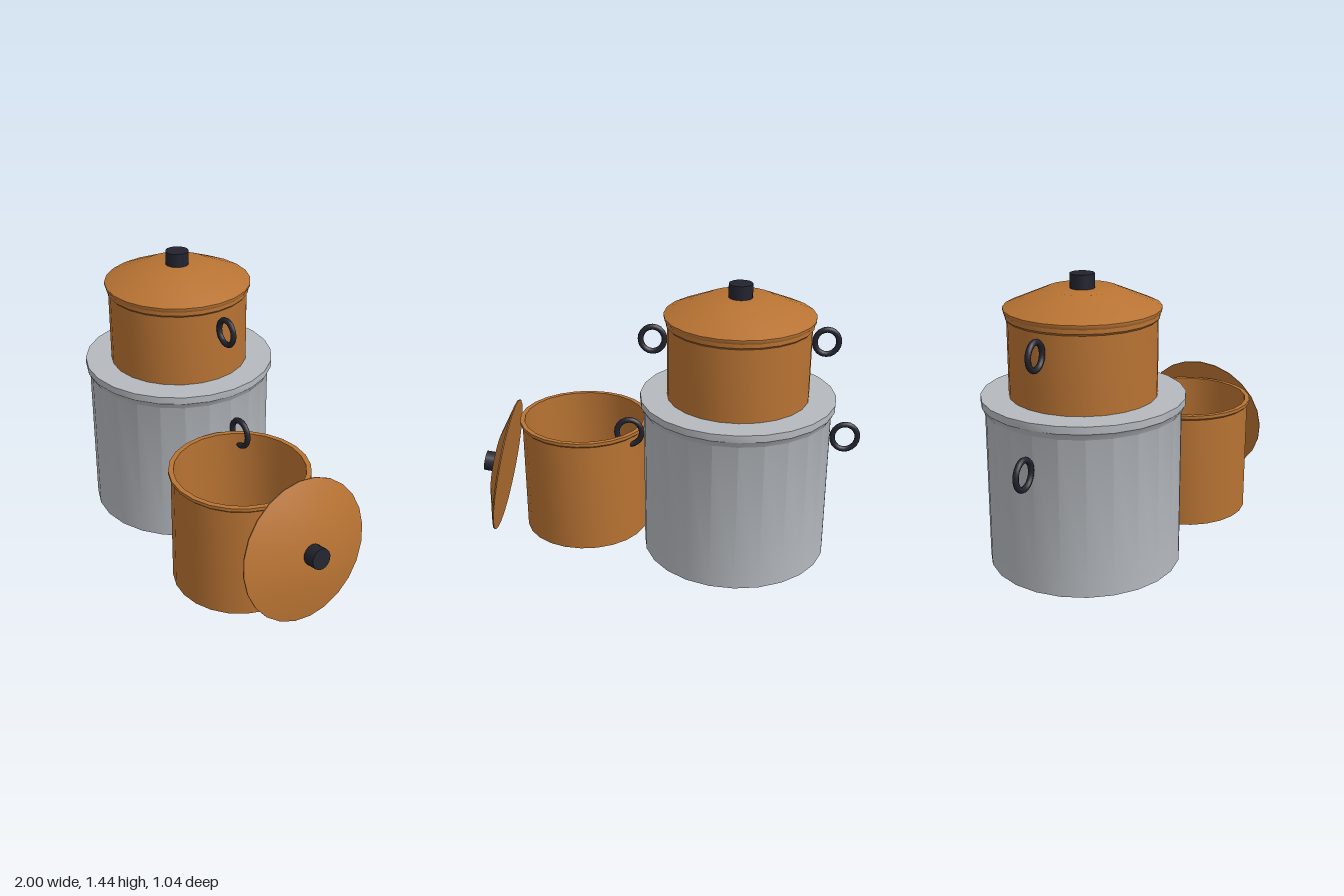
import * as THREE from 'three';
import { toCreasedNormals } from 'three/addons/utils/BufferGeometryUtils.js';

const SIDES = 24;

export function createModel() {
  const model = new THREE.Group();
  model.name = 'cookingPots';

  const material = (name, color) => {
    const m = new THREE.MeshStandardMaterial({ color });
    m.name = name;
    return m;
  };
  const copper = material('copper', 0xb87333);
  const steel = material('steel', 0xb5b9be);
  const black = material('blackHandle', 0x22232e);

  const add = (parent, name, geometry, mat, x = 0, y = 0, z = 0) => {
    const mesh = new THREE.Mesh(geometry, mat);
    mesh.name = name;
    mesh.position.set(x, y, z);
    parent.add(mesh);
    return mesh;
  };

  // Turned part from [radius, height] points, outside listed upwards
  const turned = (points) => toCreasedNormals(
    new THREE.LatheGeometry(points.map(([r, y]) => new THREE.Vector2(r, y)), SIDES), 0.6);

  // Upright ring handle, slightly taller than wide
  const ring = (parent, name, x, y, radius) =>
    add(parent, name, new THREE.TorusGeometry(radius, 0.0145, 8, 20), black, x, y, 0).scale.y = 1.07;

  const knob = (parent, radius, height, y) =>
    add(parent, 'lidKnob', new THREE.CylinderGeometry(radius, radius, height, 16), black, 0, y + height / 2, 0);

  const group = (name, x, y, z) => {
    const g = new THREE.Group();
    g.name = name;
    g.position.set(x, y, z);
    model.add(g);
    return g;
  };

  // Large steel pot with a flat top
  const large = group('largePot', -0.364, 0, -0.023);
  add(large, 'largePotBody', turned([
    [0, 0], [0.479, 0], [0.479, 0.785], [0.487, 0.797], [0.492, 0.812],
    [0.498, 0.818], [0.498, 0.855], [0, 0.855],
  ]), steel);

  // Covered copper pot standing on the large one
  const small = group('coveredPot', -0.364, 0.855, -0.023);
  add(small, 'coveredPotBody', turned([
    [0, 0], [0.361, 0], [0.361, 0.375], [0.37, 0.385], [0.37, 0.405], [0, 0.405],
  ]), copper);
  add(small, 'coveredPotLid', turned([
    [0, 0.405], [0.372, 0.405], [0.379, 0.417], [0.379, 0.427], [0.172, 0.515], [0, 0.515],
  ]), copper);
  knob(small, 0.06, 0.07, 0.515);

  // Ring handles on both sides of the stacked pots
  for (const [name, side] of [['left', 1], ['right', -1]]) {
    ring(large, name + 'LargeHandle', side * 0.557, 0.627, 0.065);
    ring(small, name + 'CoveredHandle', side * 0.433, 0.29, 0.06);
  }

  // Open, hollow copper pot
  const open = group('openPot', 0.45, 0, 0.168);
  add(open, 'openPotBody', turned([
    [0, 0], [0.335, 0], [0.335, 0.597], [0.347, 0.608], [0.347, 0.625],
    [0.322, 0.625], [0.322, 0.02], [0, 0.02],
  ]), copper);
  ring(open, 'openPotHandle', -0.4, 0.485, 0.06);

  // Loose lid leaning on the open pot
  const lid = group('leaningLid', 0.868, 0.36, 0.096);
  lid.rotation.z = -THREE.MathUtils.degToRad(80);
  add(lid, 'leaningLidShell', turned([
    [0, 0], [0.359, 0], [0.359, 0.006], [0.172, 0.06], [0, 0.06],
  ]), copper);
  knob(lid, 0.053, 0.064, 0.06);

  return model;
}
